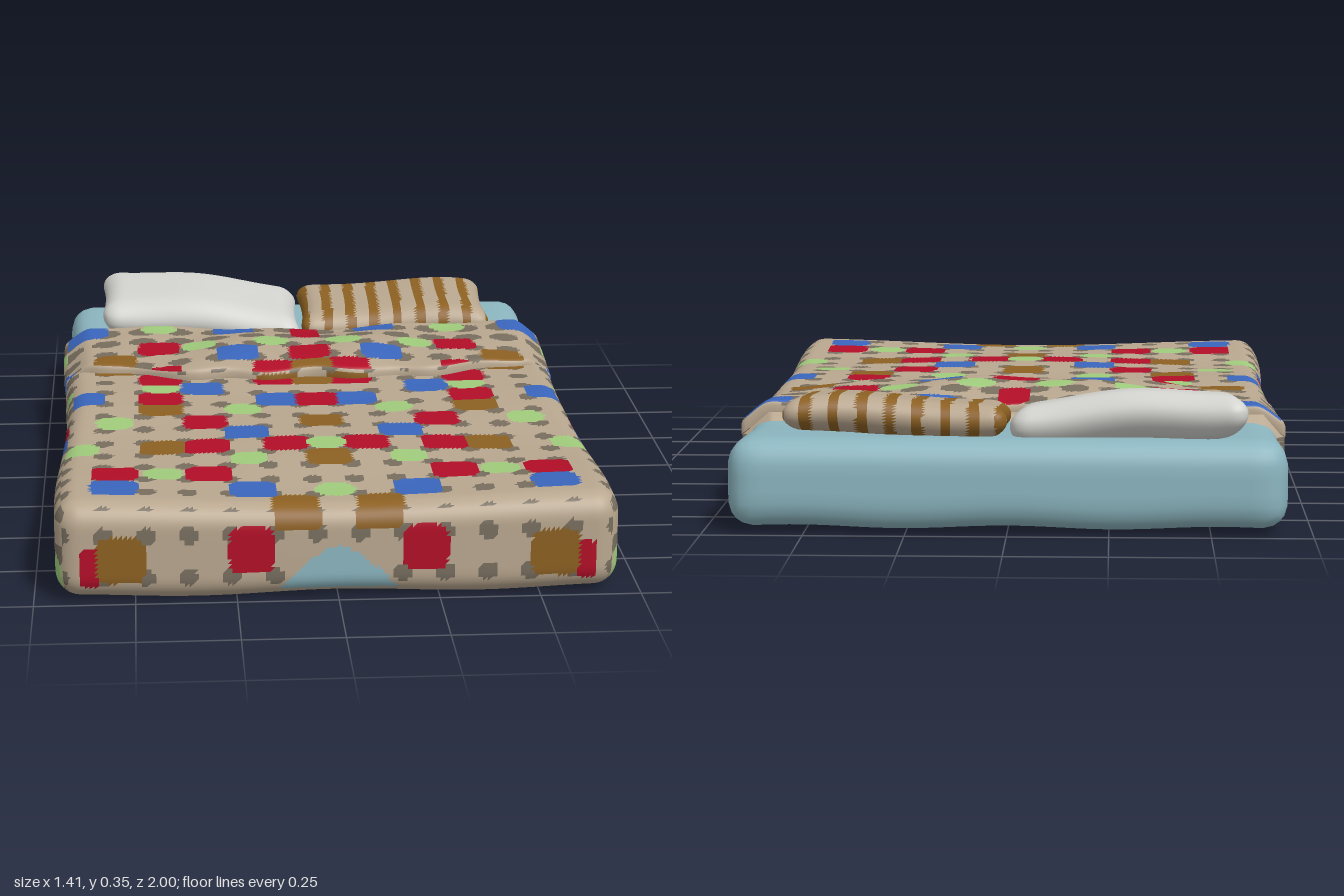
import * as THREE from 'three';
import { mergeVertices } from 'three/addons/utils/BufferGeometryUtils.js';

const COLORS = {
  tan: 0xb9a78f, taupe: 0x786e5f, red: 0xb30e28, blue: 0x3a66bd, green: 0xa0cc7c,
  brown: 0x8c6022, mattressBlue: 0x8cb6c0, white: 0xd2d2ce,
};
const NAMES = Object.keys(COLORS);
const clamp = THREE.MathUtils.clamp;
const smooth = THREE.MathUtils.smoothstep;

// Rounded box on an even grid, bent by a rule and coloured face by face
function softBox(name, materials, { size, center, step, radius, flatBack = false, warp, pick }) {
  const [w, h, d] = size;
  const n = (s) => Math.max(4, Math.round(s / step));
  let geo = new THREE.BoxGeometry(w, h, d, n(w), n(h), n(d));
  geo.deleteAttribute('uv');
  geo.deleteAttribute('normal');
  const pos = geo.attributes.position;
  const p = new THREE.Vector3(), core = new THREE.Vector3();
  for (let i = 0; i < pos.count; i++) {
    p.fromBufferAttribute(pos, i);
    const [cx, cy, cz] = [w / 2 - radius, h / 2 - radius, d / 2 - radius];
    core.set(clamp(p.x, -cx, cx), clamp(p.y, -cy, cy), clamp(p.z, flatBack ? -d / 2 : -cz, cz));
    p.sub(core);
    if (p.lengthSq() > 0) p.setLength(Math.min(radius, p.length() + radius));
    p.add(core);
    if (flatBack && pos.getZ(i) === -d / 2) p.z = -d / 2;
    p.add(core.set(...center));
    warp(p);
    pos.setXYZ(i, p.x, p.y, p.z);
  }
  geo = mergeVertices(geo, 1e-5);
  geo.clearGroups();
  geo.computeVertexNormals();

  // Sort the faces into one group per colour
  const index = geo.index.array, P = geo.attributes.position;
  const buckets = NAMES.map(() => []);
  const a = new THREE.Vector3(), b = new THREE.Vector3(), c = new THREE.Vector3(), nor = new THREE.Vector3();
  for (let i = 0; i < index.length; i += 3) {
    a.fromBufferAttribute(P, index[i]);
    b.fromBufferAttribute(P, index[i + 1]);
    c.fromBufferAttribute(P, index[i + 2]);
    THREE.Triangle.getNormal(a, b, c, nor);
    a.add(b).add(c).divideScalar(3);
    buckets[NAMES.indexOf(pick(a, nor))].push(index[i], index[i + 1], index[i + 2]);
  }
  let start = 0;
  buckets.forEach((list, m) => {
    if (list.length) geo.addGroup(start, list.length, m);
    start += list.length;
  });
  geo.setIndex(buckets.flat());
  const mesh = new THREE.Mesh(geo, materials);
  mesh.name = name;
  return mesh;
}

// Patchwork: half of the mirrored top, one string per row from head to foot
const KEY = { R: 'red', B: 'blue', G: 'green', N: 'brown' };
const COLS = [0, 0.105, 0.205, 0.31, 0.425, 0.55, 0.635];
const ROWS = [
  [-0.53, '..B.G.B'], [-0.33, '.G.GR..'], [-0.22, 'R.B..N.'], [-0.1, 'NR..R..'], [-0.01, '...BG..'],
  [0.09, 'RB..R.B'], [0.18, '..G.N..'], [0.3, 'N..R.G.'], [0.4, '..B....'], [0.51, 'GR.RN.G'],
  [0.62, 'N.G....'], [0.74, '...RGR.'], [0.86, 'G.B..B.'], [0.96, '.N.....'],
];
const topPatches = [['red', 0, -0.46, 0.04, 0.08]];
for (const [z, row] of ROWS) {
  [...row].forEach((k, i) => { if (KEY[k]) topPatches.push([KEY[k], COLS[i], z]); });
}
const frontPatches = [
  ['brown', 0.1, 0.23, 0.06, 0.04], ['red', 0.215, 0.14, 0.055, 0.06],
  ['brown', 0.535, 0.12, 0.06, 0.06], ['red', 0.61, 0.1, 0.025, 0.05],
];
const sidePatches = [
  ['green', 0.93, 0.08], ['brown', 0.7, 0.14, 0.06, 0.055], ['red', 0.7, 0.055, 0.05, 0.03],
  ['blue', 0.39, 0.17], ['brown', 0.39, 0.07, 0.055, 0.035], ['red', 0.285, 0.17],
  ['green', -0.02, 0.19], ['red', -0.03, 0.09], ['blue', -0.24, 0.21, 0.02, 0.04],
  ['green', -0.22, 0.1, 0.025, 0.04], ['green', -0.42, 0.19], ['red', -0.28, 0.035, 0.045, 0.015],
];
function findPatch(list, u, v) {
  for (const [color, cu, cv, hu, hv] of list) {
    const r = color === 'green' ? 0.05 : 0.059;
    const e = color === 'green' ? 2.4 : 5;
    if (Math.abs((u - cu) / (hu ?? r)) ** e + Math.abs((v - cv) / (hv ?? r)) ** e < 1) return color;
  }
  return null;
}
// Dots sit between the patches on a regular lattice
function isDot(u, v, u0, v0, r) {
  const du = u - u0 - 0.105 * Math.round((u - u0) / 0.105);
  const dv = v - v0 - 0.1075 * Math.round((v - v0) / 0.1075);
  return Math.hypot(du, dv) < r;
}
function quiltColor(p, n) {
  const ax = Math.abs(p.x);
  const [nx, ny, nz] = [Math.abs(n.x), Math.abs(n.y), Math.abs(n.z)];
  if (ny >= nx && ny >= nz) {
    if (n.y < 0) return isDot(ax, p.z, 0.0525, 0.139, 0.015) ? 'taupe' : 'tan';
    const r = p.z < -0.38 ? 0.04 : p.z < -0.15 ? 0.032 : 0.026;
    return findPatch(topPatches, ax, p.z) ?? (isDot(ax, p.z, 0.0525, 0.139, r) ? 'taupe' : 'tan');
  }
  if (nz > nx) {
    // Gap at the foot where the mattress shows through
    if (n.z > 0 && p.y > 0.035 && p.y < 0.15 - 0.03 * (ax / 0.06) ** 1.5) return 'mattressBlue';
    return findPatch(frontPatches, ax, p.y) ?? (isDot(ax, p.y, 0.0525, 0.075, 0.023) ? 'taupe' : 'tan');
  }
  const r = p.z < 0.15 ? 0.036 : 0.025;
  return findPatch(sidePatches, p.z, p.y) ?? (isDot(p.z, p.y, 0.02, 0.13, r) ? 'taupe' : 'tan');
}

// Soft unevenness shared by the blanket and its fold
const quiltTop = (x, z) => 0.006 * Math.cos(8 * z - 4) * Math.cos(5 * x) + 0.018 * x * x * smooth(z, 0.4, 1);
const quiltWidth = (z) => 0.986 + 0.014 * Math.cos(5 * (z - 0.75));
const foldFront = (x) => -0.095 - 0.012 * Math.cos(26 * x) - 0.12 * smooth(Math.abs(x), 0.28, 0.68);
const foldBack = (x) => -0.58 + 0.035 * (1 - smooth(Math.abs(x), 0, 0.35));

export function createModel() {
  const model = new THREE.Group();
  model.name = 'bedding';
  const materials = NAMES.map((name) => {
    const m = new THREE.MeshStandardMaterial({ color: COLORS[name] });
    m.name = name;
    return m;
  });
  const add = (name, options) => model.add(softBox(name, materials, options));

  add('mattress', {
    size: [1.37, 0.212, 0.7], center: [0, 0.126, -0.65], step: 0.03, radius: 0.065,
    warp: (p) => {
      p.x *= 1 + 0.005 * Math.cos(14 * p.z);
      p.y += p.y > 0.12 ? 0.008 * smooth(-p.z, 0.6, 0.9) : 0.004 * Math.cos(12 * p.x);
    },
    pick: () => 'mattressBlue',
  });

  add('blanket', {
    size: [1.4, 0.24, 1.575], center: [0, 0.133, 0.2125], step: 0.0118, radius: 0.06, flatBack: true,
    warp: (p) => {
      const up = clamp((p.y - 0.013) / 0.24, 0, 1);
      p.x *= quiltWidth(p.z);
      p.y += up * quiltTop(p.x, p.z) + (1 - up) * 0.006 * Math.cos(9 * p.x) * Math.cos(7 * p.z);
    },
    pick: quiltColor,
  });

  // Turned-down end of the blanket, draped over the long edges
  add('blanketFold', {
    size: [1.4, 0.05, 0.48], center: [0, 0.25, 0.24], step: 0.0118, radius: 0.014,
    warp: (p) => {
      const t = p.z / 0.48, ax = Math.abs(p.x);
      p.z = foldBack(p.x) + t * (foldFront(p.x) - foldBack(p.x));
      p.x *= quiltWidth(p.z) * 1.004;
      const middle = 1 - smooth(ax, 0.15, 0.62);
      p.y += quiltTop(p.x, p.z) - 0.055 * smooth(ax, 0.62, 0.72);
      p.y += middle * 0.02 * Math.sin(Math.PI * clamp(1.1 - t, 0, 1)) + 0.004 * Math.cos(18 * p.x + 9 * p.z);
    },
    pick: quiltColor,
  });

  // Pillows: pinched sides, domed top, each laid with its own slant
  const pillow = (name, { x, z, w, d, y, h, slant, wave, pick }) => add(name, {
    size: [w, h, d], center: [0, 0, 0], step: 0.012, radius: h * 0.45,
    warp: (p) => {
      const u = clamp(2 * p.x / w, -1, 1), v = clamp(2 * p.z / d, -1, 1);
      const puff = Math.sqrt(Math.max(0, (1 - u ** 4) * (1 - v ** 4)));
      p.y *= 0.55 + 0.45 * puff;
      p.y += wave(u, v);
      p.x *= 1 - 0.05 * (1 - v * v);
      p.z *= 1 - 0.08 * (1 - u * u);
      p.z += slant * u;
      p.x += x; p.y += y; p.z += z;
    },
    pick,
  });
  pillow('whitePillow', {
    x: -0.297, z: -0.79, w: 0.6, d: 0.34, y: 0.275, h: 0.125, slant: 0.035,
    wave: (u, v) => -0.022 * u - 0.018 * v + 0.008 * Math.cos(4 * u),
    pick: () => 'white',
  });
  pillow('stripedPillow', {
    x: 0.28, z: -0.755, w: 0.57, d: 0.34, y: 0.272, h: 0.1, slant: 0.008,
    wave: (u, v) => 0.01 * Math.sin(2.6 * u) - 0.014 * v,
    pick: (p) => {
      const s = (p.x + 0.02 * p.z) / 0.069 + 0.23;
      return s - Math.floor(s) < 0.4 ? 'brown' : 'tan';
    },
  });
  return model;
}
